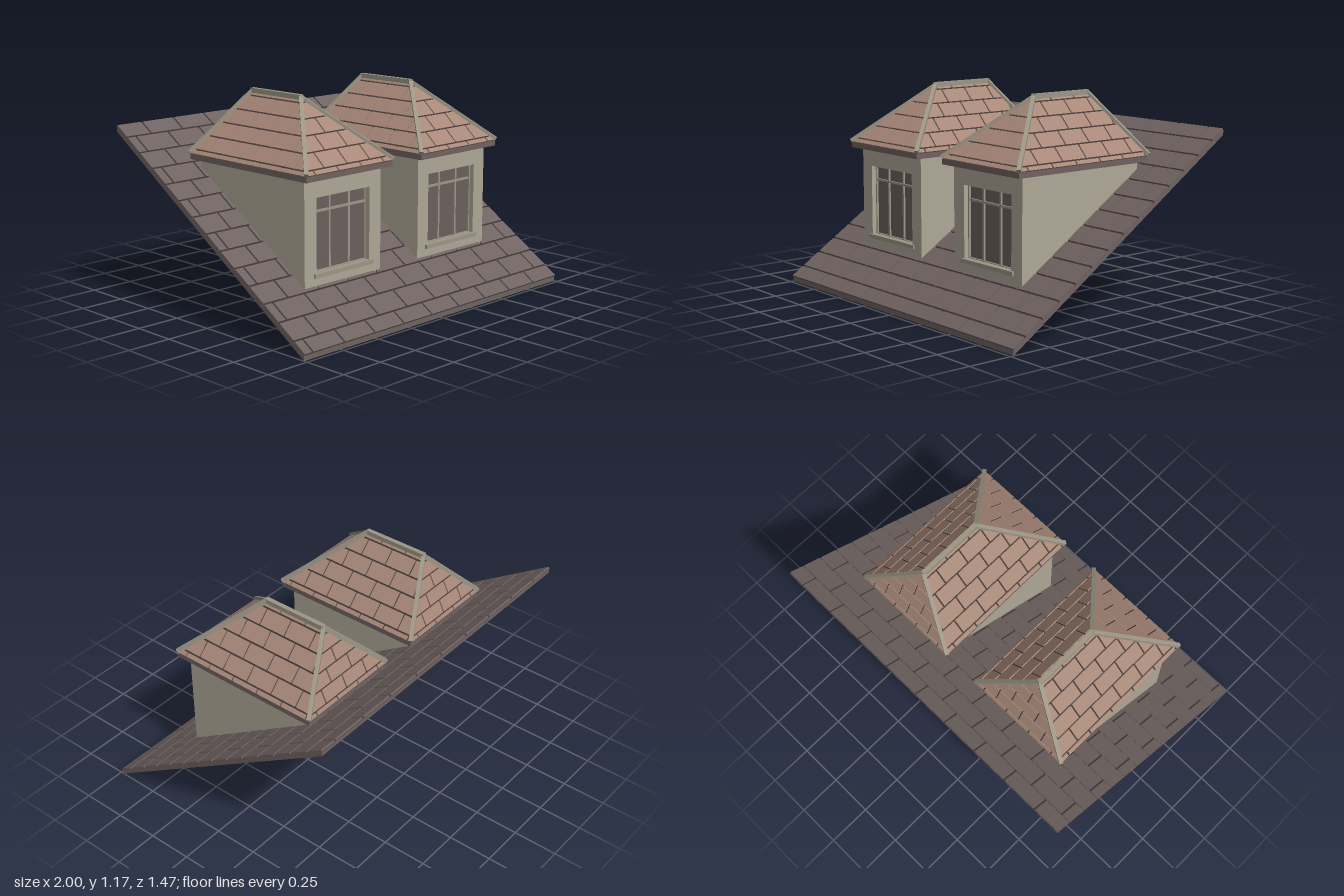
import * as THREE from 'three';
import { mergeGeometries } from 'three/addons/utils/BufferGeometryUtils.js';
import { ConvexGeometry } from 'three/addons/geometries/ConvexGeometry.js';

const mat = (name, color) => new THREE.MeshStandardMaterial({ name, color });
const V = (x, y, z) => new THREE.Vector3(x, y, z);

export function createModel() {
  const slate = mat('slate', 0x6f6361);
  const groove = mat('groove', 0x413836);
  const clay = mat('clay tile', 0xa78879);
  const wall = mat('render wall', 0xafa898);
  const trim = mat('trim', 0x9d9787);
  const glass = mat('glass', 0x6b605e);

  const model = new THREE.Group();
  model.name = 'roofWithDormers';

  const add = (parent, name, geo, material) => {
    const m = new THREE.Mesh(geo, material);
    m.name = name;
    parent.add(m);
    return m;
  };
  // box given by its min and max corners
  const box = (parent, name, material, x0, x1, y0, y1, z0, z1) => {
    const m = add(parent, name, new THREE.BoxGeometry(x1 - x0, y1 - y0, z1 - z0), material);
    m.position.set((x0 + x1) / 2, (y0 + y1) / 2, (z0 + z1) / 2);
    return m;
  };
  // square bar between two points
  const bar = (parent, name, material, a, b, w, h) => {
    const m = add(parent, name, new THREE.BoxGeometry(w, h, a.distanceTo(b) + 0.01), material);
    m.position.copy(a).lerp(b, 0.5);
    m.lookAt(b);
    return m;
  };
  // side profile (z, y) extruded along x, centred
  const sideExtrude = (pts, width) => {
    const shape = new THREE.Shape(pts.map(([z, y]) => new THREE.Vector2(-z, y)));
    const geo = new THREE.ExtrudeGeometry(shape, { depth: width, bevelEnabled: false });
    return geo.translate(0, 0, -width / 2).rotateY(Math.PI / 2);
  };
  // keep the part of a polygon where f >= 0
  const clip = (poly, f) => {
    const out = [];
    poly.forEach((p, i) => {
      const q = poly[(i + 1) % poly.length], a = f(p), b = f(q);
      if (a >= 0) out.push(p);
      if (a * b < 0) out.push(p.clone().lerp(q, a / (a - b)));
    });
    return out;
  };
  // staggered tiles over a slope with corners bottom left/right, top left/right
  const tiles = (bl, br, tl, tr, o) => {
    const u = br.clone().sub(bl), W = u.length();
    u.normalize();
    const up = tl.clone().sub(bl), lu = up.dot(u), ru = tr.clone().sub(bl).dot(u);
    const v = up.addScaledVector(u, -lu), H = v.length(), s = H / (tl.y - bl.y);
    v.normalize();
    const n = u.clone().cross(v);
    const basis = new THREE.Matrix4().makeBasis(u, v, n).setPosition(bl);
    const g = o.gap / 2, parts = [];
    for (let row = 0, v0 = 0; v0 < H - 0.005; row++) {
      const v1 = Math.min(H, (o.first + row * o.pitch) * s);
      const lo = row ? v0 + g : 0, hi = v1 < H ? v1 - g : H;
      for (let a = o.shift + (row % 2) * o.width / 2 - o.width; a < W; a += o.width) {
        const x0 = Math.max(0, a + g), x1 = Math.min(W, a + o.width - g);
        if (x1 - x0 < 0.004 || hi - lo < 0.004) continue;
        let poly = [[x0, lo], [x1, lo], [x1, hi], [x0, hi]].map(p => new THREE.Vector2(...p));
        poly = clip(poly, p => p.x - lu * p.y / H);
        poly = clip(poly, p => W + (ru - W) * p.y / H - p.x);
        if (poly.length < 3) continue;
        parts.push(new THREE.ExtrudeGeometry(new THREE.Shape(poly), { depth: o.thick, bevelEnabled: false }));
      }
      v0 = v1;
    }
    return mergeGeometries(parts).applyMatrix4(basis);
  };

  // main sloping roof: slab, dark joint layer, slates
  const Z = 0.73, rise = 0.945, y0 = 0.027;
  add(model, 'roofSlab', sideExtrude([[Z, 0], [-Z, rise], [-Z, rise + y0], [Z, y0]], 2), slate);
  add(model, 'slateJoints', sideExtrude(
    [[Z, y0], [-Z, rise + y0], [-Z, rise + y0 + 0.002], [Z, y0 + 0.002]], 1.996), groove);
  add(model, 'slates', tiles(
    V(-1, y0, Z), V(1, y0, Z), V(-1, y0 + rise, -Z), V(1, y0 + rise, -Z),
    { first: 0.0485, pitch: 0.0701, width: 0.217, shift: 0.055, gap: 0.011, thick: 0.011 }), slate);

  const slopeY = z => 0.02 + rise * (Z - z) / (2 * Z);

  const makeDormer = () => {
    const d = new THREE.Group();
    const hw = 0.278, front = 0.425, inner = 0.38, back = -0.385, top = 0.81;

    // body behind the front wall, following the slope underneath
    add(d, 'dormerBody', sideExtrude(
      [[inner, slopeY(inner)], [back, slopeY(back)], [back, top], [inner, top]], hw * 2), wall);

    // front wall with window opening
    const ow = 0.193, ob = 0.3, ot = 0.7;
    const rect = (C, w, b, t) => new C([[-w, b], [w, b], [w, t], [-w, t]].map(p => new THREE.Vector2(...p)));
    const face = rect(THREE.Shape, hw, 0.2, top);
    face.holes.push(rect(THREE.Path, ow, ob, ot));
    add(d, 'frontWall', new THREE.ExtrudeGeometry(face, { depth: front - inner, bevelEnabled: false })
      .translate(0, 0, inner), wall);

    // window: pane, frame, glazing bars, sill
    box(d, 'pane', glass, -ow, ow, ob, ot, inner, inner + 0.006);
    const frame = rect(THREE.Shape, ow, ob, ot);
    frame.holes.push(rect(THREE.Path, ow - 0.008, ob + 0.008, ot - 0.008));
    add(d, 'windowFrame', new THREE.ExtrudeGeometry(frame, { depth: 0.018, bevelEnabled: false })
      .translate(0, 0, inner), trim);
    for (const x of [-0.07, 0.07]) box(d, 'mullion', trim, x - 0.006, x + 0.006, ob, ot, inner, inner + 0.016);
    box(d, 'transom', trim, -ow, ow, 0.614, 0.626, inner, inner + 0.016);
    box(d, 'sill', trim, -0.213, 0.213, 0.281, 0.304, inner + 0.005, 0.437);

    // eave band
    const ew = 0.313, ez0 = -0.43, ez1 = 0.478, ey = 0.83;
    box(d, 'eaveBand', slate, -ew, ew, 0.8, ey, ez0, ez1);

    // hipped roof core and clay tiles
    const a = V(-ew, ey, ez1), b = V(ew, ey, ez1), c = V(ew, ey, ez0), e = V(-ew, ey, ez0);
    const rf = V(0, 1.15, 0.11), rb = V(0, 1.15, -0.27);
    add(d, 'hipRoofCore', new ConvexGeometry([a, b, c, e, rf, rb]), groove);
    const o = { first: 0.02, pitch: 0.07, width: 0.165, shift: 0.06, gap: 0.009, thick: 0.008 };
    const slopes = [[a, b, rf, rf], [b, c, rf, rb], [c, e, rb, rb], [e, a, rb, rf]];
    add(d, 'clayTiles', mergeGeometries(slopes.map(s => tiles(...s, o))), clay);

    // hip and ridge caps
    const lift = p => p.clone().add(V(0, 0.011, 0));
    for (const [p, q] of [[a, rf], [b, rf], [c, rb], [e, rb]]) bar(d, 'hipCap', trim, lift(p), lift(q), 0.022, 0.022);
    bar(d, 'ridgeCap', trim, lift(rf), lift(rb), 0.026, 0.026);
    return d;
  };

  for (const side of [-1, 1]) {
    const d = makeDormer();
    d.name = side > 0 ? 'leftDormer' : 'rightDormer';
    d.position.x = side * 0.426;
    model.add(d);
  }
  return model;
}
